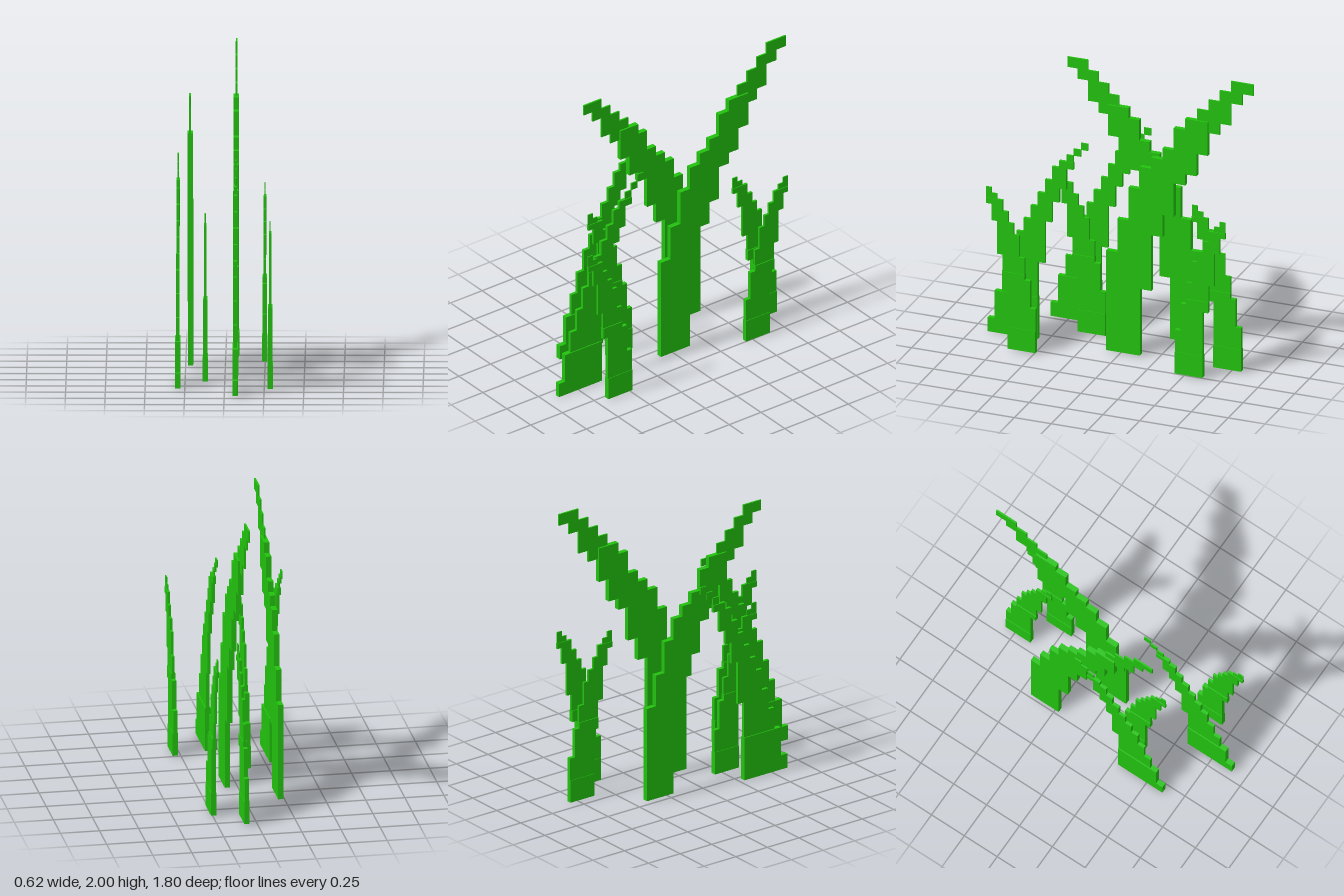
import * as THREE from 'three';

// Blade profiles on a pixel grid. Each section has one thickness (in world units)
// and rows of [bottom, top, back edge, front edge], counted in grid steps.
const TALL = [
  { thick: 0.034, rows: [[0, 6, 0, 3], [6, 9, 0, 4], [9, 11, 1, 4], [11, 12, 1, 5], [12, 13, 2, 5], [13, 15, 2, 6],
    [15, 16, 3, 6], [16, 17, 3, 7], [17, 18, 4, 8], [18, 19, 5, 8], [19, 21, 6, 9], [21, 22, 7, 9]] },
  { thick: 0.011, rows: [[21, 22, 8, 10], [22, 23, 8, 11], [23, 24, 9, 11], [24, 25, 10, 12], [25, 26, 11, 13]] },
];
const MEDIUM = [
  { thick: 0.034, rows: [[0, 2, 0, 7], [2, 6, 1, 7]] },
  { thick: 0.021, rows: [[6, 9, 2, 7], [9, 11, 3, 7], [11, 12, 3, 8], [12, 15, 4, 8], [15, 17, 5, 8], [17, 19, 6, 9],
    [19, 20, 7, 9], [20, 21, 7, 10], [21, 22, 8, 10], [22, 23, 8, 11], [23, 25, 9, 11], [25, 26, 10, 12]] },
  { thick: 0.009, rows: [[26, 27, 11, 12], [27, 28, 12, 13], [28, 29, 13, 14]] },
];
const SMALL = [
  { thick: 0.034, rows: [[0, 4, 0, 5]] },
  { thick: 0.027, rows: [[4, 8, 0, 5], [8, 12, 1, 5], [12, 13, 1, 6], [13, 14, 2, 6]] },
  { thick: 0.016, rows: [[14, 17, 2, 6], [17, 21, 3, 7], [21, 23, 4, 7], [23, 25, 5, 8], [25, 26, 6, 8], [26, 27, 6, 9]] },
  { thick: 0.007, rows: [[27, 28, 7, 9], [28, 29, 8, 9]] },
];

// Extrudes the stepped outline of one section, running along z in direction dir
function sectionGeometry(rows, step, thick, dir) {
  const pts = [];
  for (const [y0, y1, , b] of rows) pts.push([b, y0], [b, y1]);
  for (const [y0, y1, a] of [...rows].reverse()) pts.push([a, y1], [a, y0]);
  const unique = pts.filter((p, i) => i === 0 || p[0] !== pts[i - 1][0] || p[1] !== pts[i - 1][1]);
  const shape = new THREE.Shape(unique.map(([x, y]) => new THREE.Vector2(x * step, y * step)));
  const g = new THREE.ExtrudeGeometry(shape, { depth: thick, bevelEnabled: false });
  g.translate(0, 0, -thick / 2);
  g.rotateY(-dir * Math.PI / 2);
  return g;
}

function makeBlade(name, profile, step, x, y, z, dir, material) {
  const blade = new THREE.Group();
  blade.name = name;
  profile.forEach(({ thick, rows }, i) => {
    const mesh = new THREE.Mesh(sectionGeometry(rows, step, thick, dir), material);
    mesh.name = i === profile.length - 1 ? 'bladeTip' : 'bladeSection' + (i + 1);
    blade.add(mesh);
  });
  blade.position.set(x, y, z);
  return blade;
}

export function createModel() {
  const model = new THREE.Group();
  model.name = 'grassTuft';
  const green = new THREE.MeshStandardMaterial({ color: 0x22c20f });
  green.name = 'grass green';

  // name, profile, grid step, x, y, z of the base's back edge, lean direction along z
  const blades = [
    ['tallBladeBack', TALL, 0.0767, 0.068, 0.005, 0.098, -1],
    ['tallBladeFront', TALL, 0.0702, -0.219, 0.017, -0.432, 1],
    ['mediumBladeRight', MEDIUM, 0.0483, -0.295, 0.002, 0.62, -1],
    ['mediumBladeLeft', MEDIUM, 0.0483, 0.068, 0, 0.902, -1],
    ['smallBladeRight', SMALL, 0.0376, -0.122, 0.009, 0.18, 1],
    ['smallBladeLeft', SMALL, 0.0376, 0.288, 0.009, 0.49, 1],
    ['smallBladeBackLeft', SMALL, 0.0376, 0.247, 0.009, -0.44, -1],
    ['smallBladeBackMiddle', SMALL, 0.0376, 0.068, 0.009, -0.818, 1],
  ];
  for (const b of blades) model.add(makeBlade(...b, green));
  return model;
}
